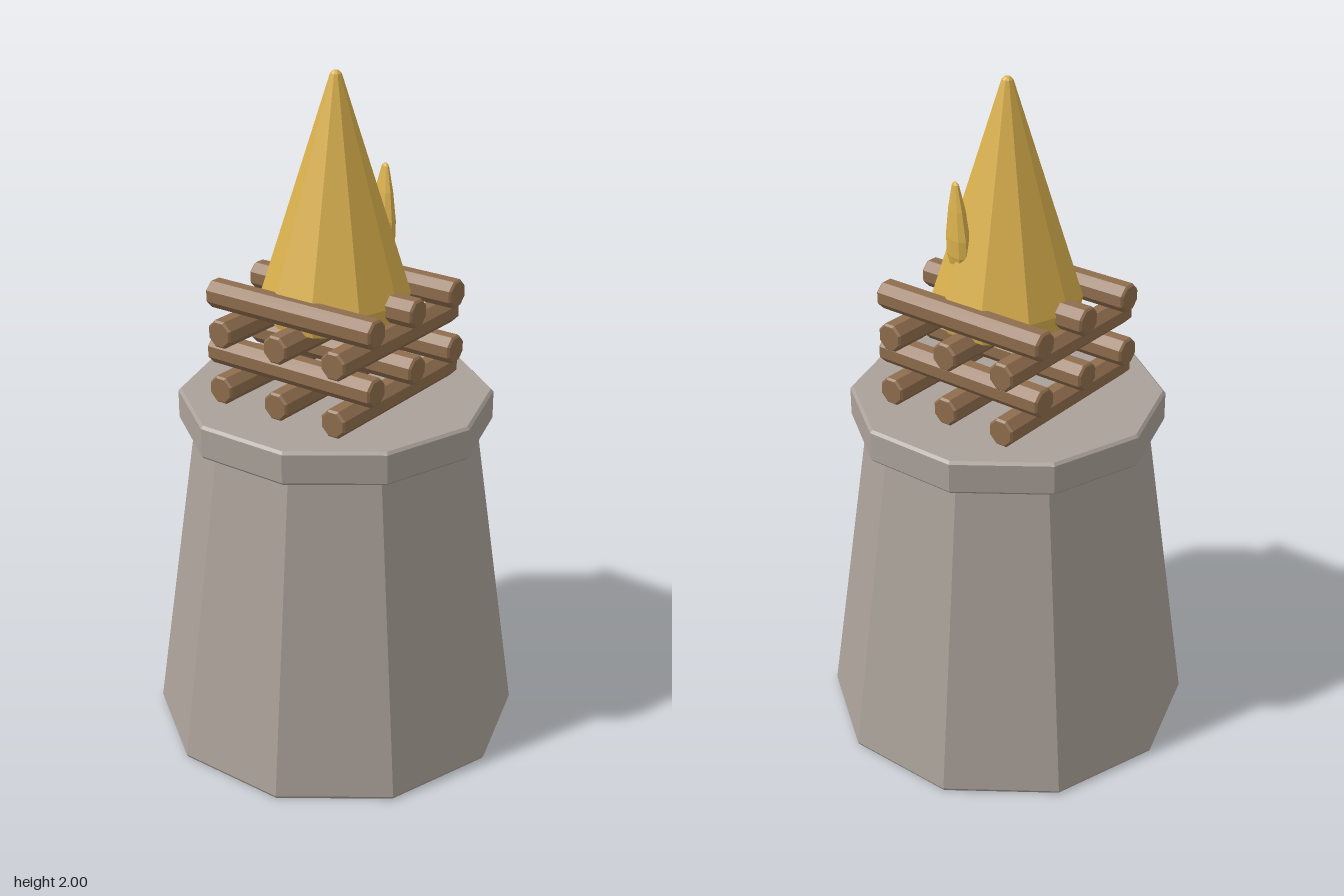
import * as THREE from 'three';

const stone = new THREE.MeshStandardMaterial({ color: 0xaaa199, flatShading: true });
stone.name = 'stone';
const wood = new THREE.MeshStandardMaterial({ color: 0x8f6d4e, flatShading: true });
wood.name = 'wood';
const fire = new THREE.MeshStandardMaterial({ color: 0xd9b04d, flatShading: true });
fire.name = 'fire';

// Turned solid from [radius, height] points, listed bottom to top
function turned(name, points, sides, material) {
  const profile = points.map(([r, y]) => new THREE.Vector2(r, y));
  const mesh = new THREE.Mesh(new THREE.LatheGeometry(profile, sides), material);
  mesh.name = name;
  return mesh;
}

export function createModel() {
  const model = new THREE.Group();
  model.name = 'beacon';

  // Ten-sided tapering pedestal and its overhanging slab
  model.add(turned('pedestal', [[0, 0], [0.544, 0], [0.55, 0.01], [0.412, 0.98], [0, 0.98]], 10, stone));
  model.add(turned('pedestalCap', [[0, 0.97], [0.452, 0.97], [0.46, 0.978], [0.46, 1.062], [0.452, 1.07], [0, 1.07]], 10, stone));

  // Four crossed layers of three logs
  const logs = new THREE.Group();
  logs.name = 'logStack';
  const r = 0.043, half = 0.285, bevel = 0.006;
  for (let layer = 0; layer < 4; layer++) {
    for (const offset of [-0.198, 0, 0.198]) {
      const log = turned('log', [[0, -half], [r - bevel, -half], [r, -half + bevel], [r, half - bevel], [r - bevel, half], [0, half]], 8, wood);
      log.geometry.rotateY(Math.PI / 8);
      const y = 1.111 + layer * 0.0845;
      if (layer % 2 === 0) {
        log.rotation.z = Math.PI / 2;
        log.position.set(0, y, offset);
      } else {
        log.rotation.x = Math.PI / 2;
        log.position.set(offset, y, 0);
      }
      logs.add(log);
    }
  }
  model.add(logs);

  // Main flame, drawn in slightly at its foot
  model.add(turned('flame', [[0, 1.3], [0.2, 1.3], [0.214, 1.368], [0.016, 1.992], [0.008, 2], [0, 2]], 10, fire));

  // Small tongue of fire on the flame's front left
  const tongue = turned('flameTongue', [[0, -0.13], [0.03, -0.1], [0.052, -0.03], [0.051, 0.02], [0.035, 0.1], [0.014, 0.17], [0, 0.18]], 10, fire);
  tongue.scale.set(0.6, 1, 1.1);
  tongue.position.set(0.128, 1.55, 0.07);
  tongue.rotation.set(0, -0.5, -0.04);
  model.add(tongue);

  return model;
}
